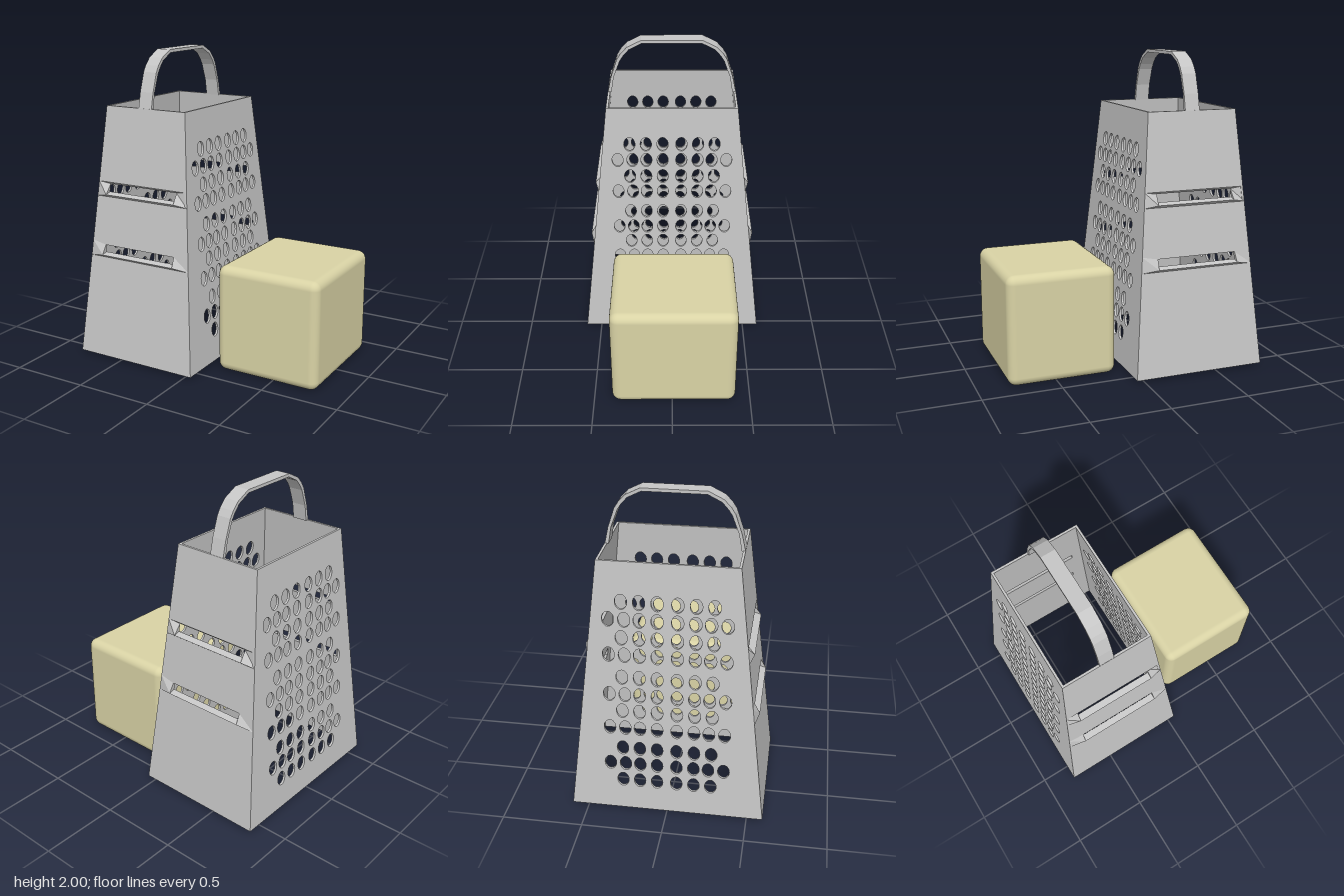
import * as THREE from 'three';
import { RoundedBoxGeometry } from 'three/addons/geometries/RoundedBoxGeometry.js';

const BASE = 0.015, TOP = 1.65, WALL = 0.015;
// Half width and half depth of the tapering body at height y
const taper = (a, b) => (y) => a + ((b - a) * (y - BASE)) / (TOP - BASE);
const halfX = taper(0.43, 0.295);
const halfZ = taper(0.6, 0.415);

// Perforated side wall, drawn in (z, y) and leaned onto the taper
function sideWallGeometry() {
  const shape = new THREE.Shape([
    new THREE.Vector2(-halfZ(BASE), BASE), new THREE.Vector2(halfZ(BASE), BASE),
    new THREE.Vector2(halfZ(TOP), TOP), new THREE.Vector2(-halfZ(TOP), TOP),
  ]);
  const sixes = [0.06, 0.167, 0.272];
  const eights = [0.06, 0.165, 0.255, 0.35];
  const rows = [1.405, 1.295, 1.18, 1.07, 0.925, 0.81, 0.7, 0.585, 0.445, 0.335, 0.22];
  rows.forEach((y, i) => {
    for (const z of i % 2 ? eights : sixes) {
      for (const s of [-1, 1]) {
        const hole = new THREE.Path();
        hole.absellipse(s * z, y, 0.036, 0.047, 0, Math.PI * 2, true);
        shape.holes.push(hole);
      }
    }
  });
  const geo = new THREE.ExtrudeGeometry(shape, { depth: WALL, bevelEnabled: false, curveSegments: 10 });
  const p = geo.attributes.position;
  for (let i = 0; i < p.count; i++) {
    const z = p.getX(i), y = p.getY(i), d = p.getZ(i);
    p.setXYZ(i, halfX(y) - d, y, z);
  }
  geo.computeVertexNormals();
  return geo;
}

// Slicing wall: plain bands with two slots, each with a raised lip
function slicerWallGeometry() {
  const verts = [];
  const at = (x, y, out) => [x, y, halfZ(y) + out];
  const quad = (a, b, c, d) => verts.push(...a, ...b, ...c, ...a, ...c, ...d);
  const bridge = (a, b) => {
    for (let i = 0; i < 4; i++) {
      const j = (i + 1) % 4;
      quad(a[i], a[j], b[j], b[i]);
    }
  };
  // Corners in order: bottom left, bottom right, top right, top left
  const ring = (w0, y0, out0, w1, y1, out1) =>
    [at(-w0, y0, out0), at(w0, y0, out0), at(w1, y1, out1), at(-w1, y1, out1)];
  const fullRing = (y0, y1, out) => ring(halfX(y0), y0, out, halfX(y1), y1, out);

  const slots = [
    { y0: 0.675, y1: 0.775, open: 0.755, half: 0.268, recess: 0 },
    { y0: 1.07, y1: 1.165, open: 1.152, half: 0.257, recess: -WALL },
  ];
  for (const { y0, y1, open, half, recess } of slots) {
    const lip = ring(half, y0 + 0.018, 0.026, half - 0.004, open, recess);
    const hole = ring(half, y0 + 0.03, -WALL, half - 0.004, open, -WALL);
    bridge(fullRing(y0, y1, 0), lip);
    bridge(lip, hole);
    bridge(hole, fullRing(y0, y1, -WALL));
  }
  for (const [y0, y1] of [[BASE, 0.675], [0.775, 1.07], [1.165, TOP]]) {
    quad(...fullRing(y0, y1, 0));
    quad(...fullRing(y0, y1, -WALL).reverse());
  }
  // Rims closing the thickness at the top and bottom
  quad(...ring(halfX(TOP), TOP, 0, halfX(TOP), TOP, -WALL));
  quad(...ring(halfX(BASE), BASE, -WALL, halfX(BASE), BASE, 0));

  const geo = new THREE.BufferGeometry();
  geo.setAttribute('position', new THREE.Float32BufferAttribute(verts, 3));
  geo.computeVertexNormals();
  return geo;
}

// Bent strap, drawn in (z, y) and mirrored
function handleGeometry() {
  const outer = [[0.415, 1.645], [0.392, 1.75], [0.352, 1.87], [0.327, 1.91], [0.285, 1.955], [0.195, 2]];
  const inner = [[0.392, 1.645], [0.374, 1.75], [0.333, 1.86], [0.311, 1.895], [0.273, 1.938], [0.19, 1.98]];
  const flip = (pts) => pts.map(([z, y]) => [-z, y]).reverse();
  const outline = [...outer, ...flip(outer), ...flip(inner).reverse(), ...[...inner].reverse()];
  const shape = new THREE.Shape(outline.map(([z, y]) => new THREE.Vector2(z, y)));
  const geo = new THREE.ExtrudeGeometry(shape, { depth: 0.096, bevelEnabled: false });
  return geo.translate(0, 0, -0.048).rotateY(Math.PI / 2);
}

export function createModel() {
  const steel = new THREE.MeshStandardMaterial({ color: 0xc6c6c6, side: THREE.DoubleSide });
  steel.name = 'steel';
  const cheeseYellow = new THREE.MeshStandardMaterial({ color: 0xd9d3a5 });
  cheeseYellow.name = 'cheese yellow';

  const model = new THREE.Group();
  model.name = 'graterAndCheese';
  const add = (parent, name, geo, mat, turn = 0) => {
    const mesh = new THREE.Mesh(geo, mat);
    mesh.name = name;
    mesh.rotation.y = turn;
    parent.add(mesh);
    return mesh;
  };

  // Box grater
  const grater = new THREE.Group();
  grater.name = 'grater';
  grater.position.x = -0.38;
  const side = sideWallGeometry();
  const slicer = slicerWallGeometry();
  add(grater, 'leftGratingWall', side, steel);
  add(grater, 'rightGratingWall', side, steel, Math.PI);
  add(grater, 'frontSlicingWall', slicer, steel);
  add(grater, 'backSlicingWall', slicer, steel, Math.PI);
  add(grater, 'handle', handleGeometry(), steel);
  model.add(grater);

  // Block of cheese
  const cheese = add(model, 'cheeseBlock', new RoundedBoxGeometry(0.695, 0.7, 0.79, 3, 0.055), cheeseYellow);
  cheese.position.set(0.46, 0.35, -0.01);
  return model;
}
